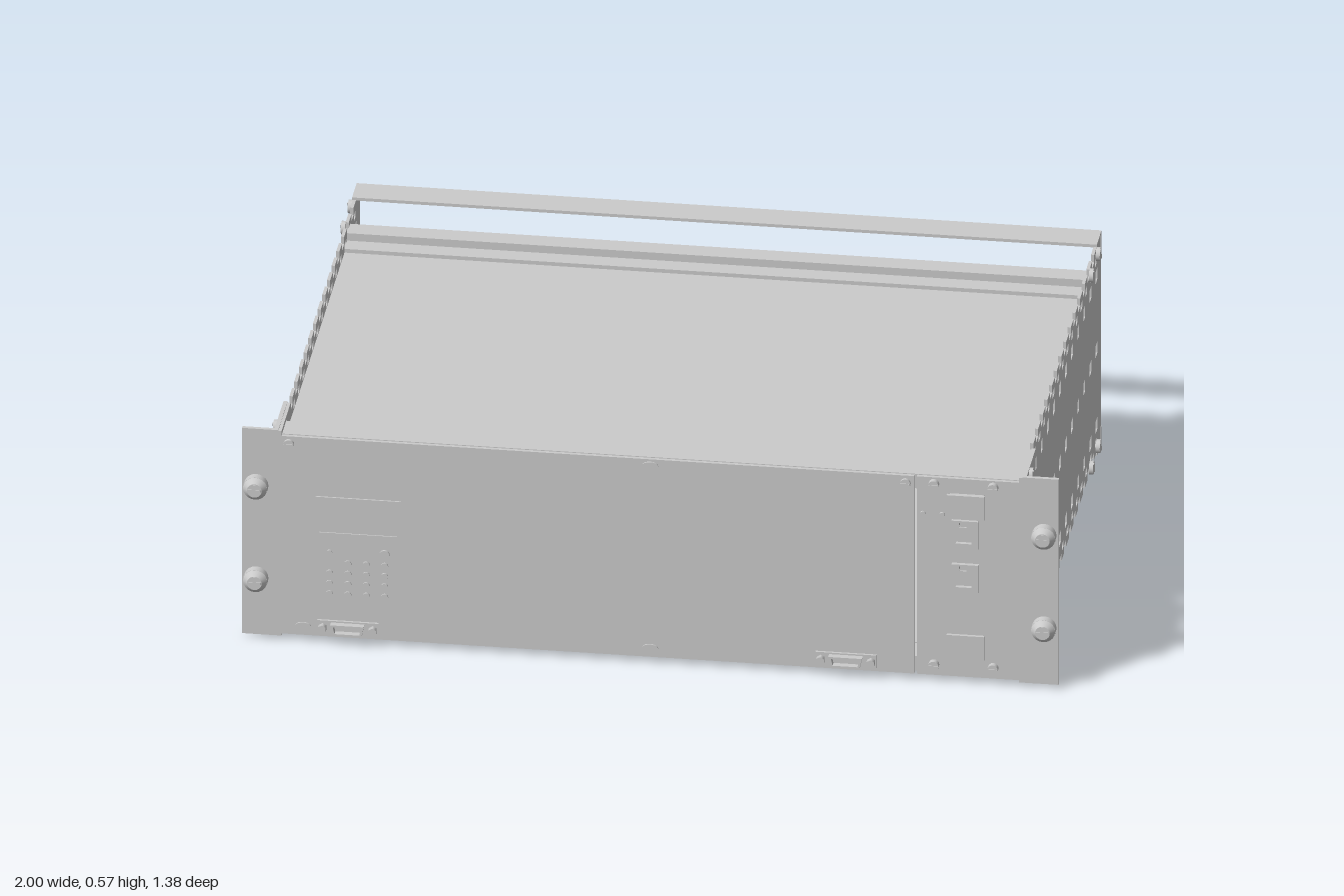
import * as THREE from 'three';

const grey = new THREE.MeshStandardMaterial({ color: 0xcccccc, flatShading: false });

function add(parent, name, geo, x = 0, y = 0, z = 0) {
  const m = new THREE.Mesh(geo, grey);
  m.name = name;
  m.position.set(x, y, z);
  parent.add(m);
  return m;
}
// box given by its limits on each axis
function box(parent, name, x0, x1, y0, y1, z0, z1) {
  return add(parent, name, new THREE.BoxGeometry(x1 - x0, y1 - y0, z1 - z0),
    (x0 + x1) / 2, (y0 + y1) / 2, (z0 + z1) / 2);
}
// cylinder along z (or x, y) between two limits
function rod(parent, name, axis, r, a, b, u, v, sides = 20) {
  const geo = new THREE.CylinderGeometry(r, r, b - a, sides), c = (a + b) / 2;
  if (axis === 'z') return add(parent, name, geo.rotateX(Math.PI / 2), u, v, c);
  if (axis === 'x') return add(parent, name, geo.rotateZ(Math.PI / 2), c, u, v);
  return add(parent, name, geo, u, c, v);
}
function rectPath(cx, cy, w, h, P = THREE.Path) {
  const p = new P();
  p.moveTo(cx - w / 2, cy - h / 2).lineTo(cx + w / 2, cy - h / 2);
  p.lineTo(cx + w / 2, cy + h / 2).lineTo(cx - w / 2, cy + h / 2).closePath();
  return p;
}
// plate with rectangular windows, front face at +z
function plate(w, h, d, windows) {
  const s = rectPath(0, 0, w, h, THREE.Shape);
  windows.forEach(([x, y, a, b]) => s.holes.push(rectPath(x, y, a, b)));
  return new THREE.ExtrudeGeometry(s, { depth: d, bevelEnabled: false });
}
// flat-topped slot or D-shaped shell
function slotShape(w, h, taper = 0) {
  const s = new THREE.Shape();
  s.moveTo(-w / 2 + taper, -h / 2).lineTo(w / 2 - taper, -h / 2);
  s.lineTo(w / 2, h / 2).lineTo(-w / 2, h / 2).closePath();
  return s;
}

// perforated side wall with castellated edges
function sideGeometry() {
  const z0 = -0.69, z1 = 0.655, y0 = 0.012, y1 = 0.565, n = 14, w = 0.034, d = 0.02;
  const s = new THREE.Shape();
  const notchZ = i => 0.48 - i * 0.08;
  s.moveTo(z0, y0);
  for (let i = n - 1; i >= 0; i--) {
    const z = notchZ(i);
    s.lineTo(z - w / 2, y0).lineTo(z - w / 2, y0 + d).lineTo(z + w / 2, y0 + d).lineTo(z + w / 2, y0);
  }
  s.lineTo(z1, y0).lineTo(z1, y1);
  for (let i = 0; i < n; i++) {
    const z = notchZ(i);
    s.lineTo(z + w / 2, y1).lineTo(z + w / 2, y1 - d).lineTo(z - w / 2, y1 - d).lineTo(z - w / 2, y1);
  }
  s.lineTo(z0, y1).closePath();
  for (let i = 0; i < n; i++)
    for (const y of [y0 + d + 0.012, y1 - d - 0.012])
      s.holes.push(rectPath(notchZ(i) - 0.04, y, 0.028, 0.018));
  for (let i = 0; i < 11; i++)
    for (const y of [0.085, 0.29, 0.49])
      s.holes.push(rectPath(0.425 - i * 0.104, y, 0.032, 0.032));
  return new THREE.ExtrudeGeometry(s, { depth: 0.008, bevelEnabled: false }).rotateY(-Math.PI / 2).translate(0.004, 0, 0);
}

// small multi-pin socket facing +z
function dSocket(parent, name, x, y, z, w = 0.15) {
  const g = new THREE.Group();
  g.name = name;
  g.position.set(x, y, z);
  parent.add(g);
  box(g, 'socketFlange', -w / 2, w / 2, -0.018, 0.018, 0, 0.006);
  const s = slotShape(w * 0.55, 0.028, 0.006);
  s.holes.push(slotShape(w * 0.46, 0.018, 0.004));
  add(g, 'socketShell', new THREE.ExtrudeGeometry(s, { depth: 0.022, bevelEnabled: false }));
  for (const k of [-1, 1]) rod(g, 'socketBolt', 'z', 0.011, 0, 0.02, k * w * 0.41, 0, 6);
  return g;
}

// slotted screw head facing +z
function screw(parent, name, x, y, z, r, h = 0.008) {
  rod(parent, name, 'z', r, z, z + h, x, y, 16);
  box(parent, name + 'Slot', x - r * 0.9, x + r * 0.9, y - r * 0.15, y + r * 0.15, z + h, z + h + 0.002);
}

function frontParts(g) {
  const F = 0.655;
  box(g, 'mainFrontPanel', -0.918, 0.647, 0.018, 0.552, 0.645, F);
  box(g, 'moduleFrontPanel', 0.653, 0.912, 0.018, 0.552, 0.645, F);
  // keypad with display
  add(g, 'keypadPlate', plate(0.21, 0.285, 0.004, [[0, 0.088, 0.19, 0.082]]), -0.715, 0.253, F);
  box(g, 'display', -0.81, -0.62, 0.3, 0.382, F, F + 0.001);
  for (let c = 0; c < 4; c++)
    for (let r = 0; r < 4; r++)
      if (c || r) rod(g, 'key', 'z', 0.009, F, F + 0.008, -0.785 + c * 0.045, 0.22 - r * 0.028, 12);
  rod(g, 'statusLight', 'z', 0.007, F, F + 0.008, -0.785, 0.248, 12);
  rod(g, 'roundKey', 'z', 0.013, F, F + 0.009, -0.65, 0.25);
  dSocket(g, 'frontSocket', -0.74, 0.045, F);
  dSocket(g, 'frontSocket', 0.48, 0.045, F);
  // panel fasteners
  for (const [x, y] of [[0, 0.535], [0, 0.042], [-0.85, 0.042]]) {
    rod(g, 'ovalFastener', 'z', 0.011, F, F + 0.004, x, y).scale.x = 1.8;
  }
  for (const x of [-0.885, 0.625]) screw(g, 'panelScrew', x, 0.532, F, 0.013);
  for (const x of [0.695, 0.84]) for (const y of [0.535, 0.047]) screw(g, 'moduleScrew', x, y, F, 0.013, 0.014);
  for (const x of [0.668, 0.715]) rod(g, 'indicator', 'z', 0.007, F, F + 0.005, x, 0.453, 12);
  // pull tabs and network sockets
  for (const [y, k] of [[0.49, 1], [0.112, -1]]) {
    box(g, 'pullTabStem', 0.735, 0.818, y + k * 0.012, y + k * 0.022, F, F + 0.028);
    box(g, 'pullTabFace', 0.73, 0.822, y - 0.032, y + 0.032, F + 0.024, F + 0.032);
  }
  for (const y of [0.405, 0.287]) {
    add(g, 'networkSocket', plate(0.066, 0.076, 0.01, [[-0.005, 0, 0.042, 0.046], [-0.005, 0.027, 0.018, 0.012]]), 0.772, y, F);
  }
}

function rearParts(g) {
  // built facing +z, then turned: local x is -model x
  const r = new THREE.Group();
  r.name = 'backplane';
  r.position.z = -0.495;
  r.rotation.y = Math.PI;
  g.add(r);
  box(r, 'backplaneBoard', -0.905, 0.905, 0.04, 0.535, -0.008, 0);
  for (let i = 0; i < 18; i++) {
    const x = -0.78 + i * 0.0865, low = i < 6 ? 0.16 : 0.09;
    const h = 0.505 - low, cy = (0.505 + low) / 2;
    add(r, 'slotConnector', plate(0.046, h, 0.022, [[0, 0, 0.022, h - 0.07]]), x, cy, 0);
    box(r, 'connectorCore', x - 0.005, x + 0.005, low + 0.05, 0.455, 0, 0.018);
    if (i > 1) for (let k = 0; k < 6; k++)
      box(r, 'contactBlock', x - 0.011, x + 0.011, low + 0.055 + k * (h - 0.11) / 5.5, low + 0.075 + k * (h - 0.11) / 5.5, 0, 0.026);
    for (const y of [low + 0.018, 0.488]) rod(r, 'connectorScrew', 'z', 0.011, 0.022, 0.03, x, y, 10);
  }
  for (const y of [0.44, 0.31, 0.18]) dSocket(r, 'stackedSocket', -0.855, y, 0, 0.11).rotation.z = Math.PI / 2;
  for (const x of [-0.67, -0.5, -0.34]) dSocket(r, 'lowerSocket', x, 0.105, 0, 0.13);
  // power inlet
  add(r, 'powerInlet', plate(0.085, 0.15, 0.02, [[0, 0, 0.06, 0.085]]), 0.8, 0.27, 0);
  for (const [x, y] of [[0, 0.025], [0.012, -0.018], [-0.012, -0.018]])
    box(r, 'inletPin', 0.797 + x, 0.803 + x, 0.262 + y, 0.278 + y, 0, 0.018);
}

export function createModel() {
  const g = new THREE.Group();
  g.name = 'rackCase';
  // recessed covers
  box(g, 'topCover', -0.905, 0.905, 0.514, 0.52, -0.47, 0.575);
  box(g, 'bottomCover', -0.905, 0.905, 0.057, 0.063, -0.47, 0.575);
  for (const x of [-0.82, 0, 0.82]) for (const z of [-0.22, 0.5]) {
    rod(g, 'footDimple', 'y', 0.06, 0.051, 0.058, x, z, 28);
    rod(g, 'footDimpleCentre', 'y', 0.035, 0.047, 0.052, x, z, 28);
  }
  for (const k of [-1, 1]) for (const [x, z] of [[0.66, 0.19], [0.465, -0.05], [0.58, 0.53]])
    rod(g, 'coverScrew', 'y', 0.022, 0.048, 0.058, k * x, z);

  // cross rails, upper and lower alike
  for (const top of [true, false]) {
    const rail = (name, y0, y1, z0, z1, w = 0.905) =>
      top ? box(g, name, -w, w, y0, y1, z0, z1) : box(g, name, -w, w, 0.576 - y1, 0.576 - y0, z0, z1);
    rail('frontRail', 0.515, 0.554, 0.575, 0.646);
    rail('frontRailLip', 0.515, 0.54, 0.565, 0.576);
    rail('rearRail', 0.51, 0.55, -0.52, -0.468);
    rail('rearRailStep', 0.515, 0.53, -0.47, -0.422);
    rail('rearBarTop', 0.567, 0.574, -0.692, -0.615, 0.912);
    rail('rearBarFlange', 0.53, 0.574, -0.694, -0.687, 0.912);
  }

  const side = sideGeometry();
  for (const k of [-1, 1]) {
    add(g, 'sideWall', side, k * 0.907, 0, 0);
    box(g, 'innerGuideWall', k * 0.88 - 0.003, k * 0.88 + 0.003, 0.063, 0.514, -0.49, 0.6);
    // angled mounting bracket
    box(g, 'bracketSide', k * 0.916 - 0.005, k * 0.916 + 0.005, 0.012, 0.567, 0.495, 0.655);
    box(g, 'mountingEar', k * 0.96 - 0.04, k * 0.96 + 0.04, 0.012, 0.567, 0.645, 0.655);
    for (const y of [0.165, 0.415]) {
      const x = k * 0.965;
      rod(g, 'rackScrewHead', 'z', 0.03, 0.655, 0.676, x, y);
      add(g, 'rackScrewDome', new THREE.CylinderGeometry(0.018, 0.03, 0.013, 20).rotateX(Math.PI / 2), x, y, 0.682);
      box(g, 'crossSlot', x - 0.016, x + 0.016, y - 0.003, y + 0.003, 0.688, 0.69);
      box(g, 'crossSlot', x - 0.003, x + 0.003, y - 0.016, y + 0.016, 0.688, 0.69);
      rod(g, 'rackScrewShaft', 'z', 0.015, 0.555, 0.655, x, y);
      rod(g, 'rackNut', 'z', 0.028, 0.585, 0.61, x, y, 6);
    }
    // side screws into the rails
    for (const z of [0.598, -0.5, -0.618]) for (const y of [0.028, 0.548]) {
      const x = k * (z > 0 ? 0.92 : 0.911);
      rod(g, 'sideScrew', 'x', 0.017, Math.min(x, x + k * 0.01), Math.max(x, x + k * 0.01), y, z, 18);
      const slot = add(g, 'sideScrewSlot', new THREE.BoxGeometry(0.002, 0.03, 0.005), x + k * 0.011, y, z);
      slot.rotation.x = 0.5;
    }
  }
  frontParts(g);
  rearParts(g);
  return g;
}
